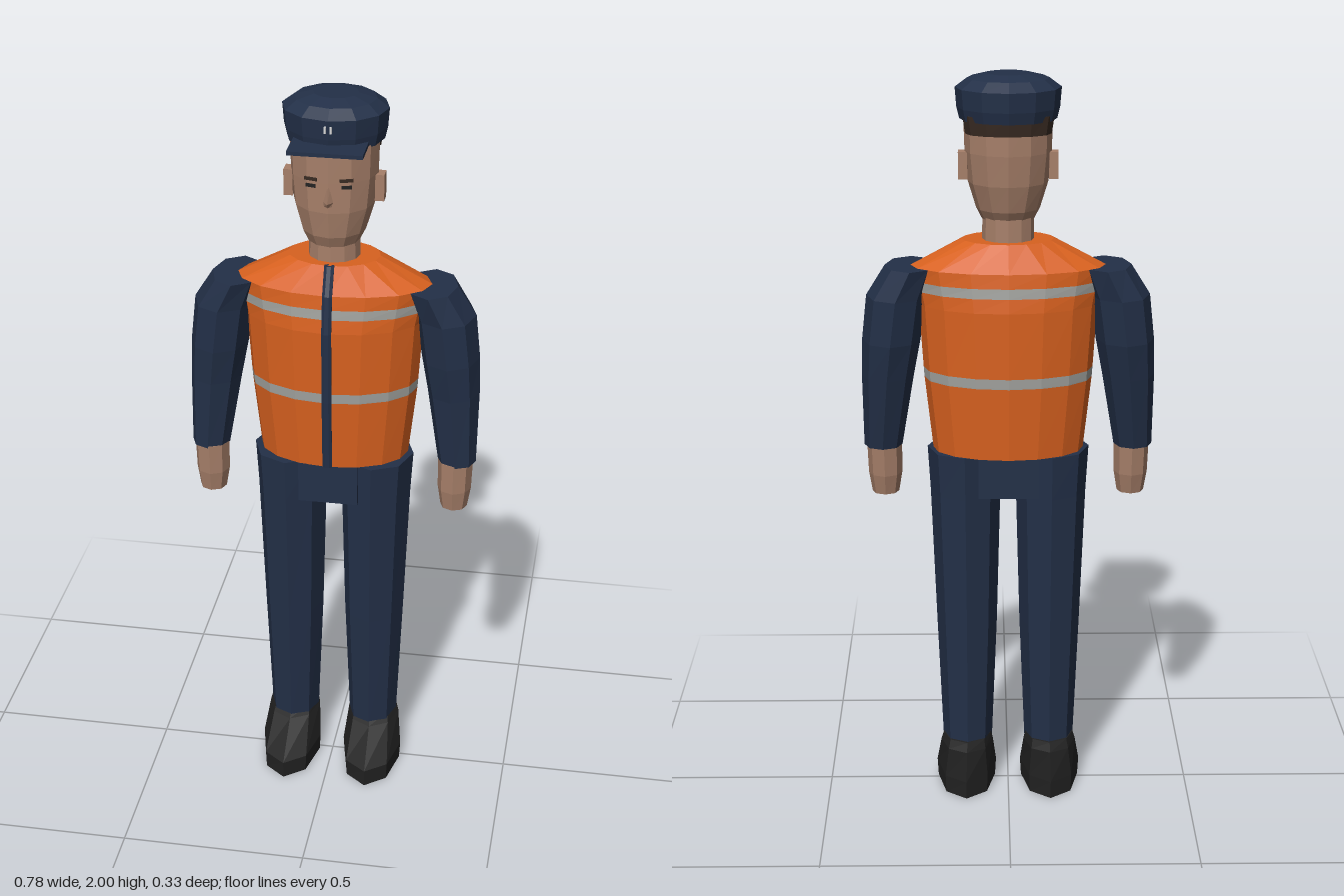
import * as THREE from 'three';

const mat = (name, color) => {
  const m = new THREE.MeshStandardMaterial({ color, flatShading: true });
  m.name = name;
  return m;
};

// Elliptical rings, bottom to top: [y, centreX, centreZ, halfX, halfZ]
function loft(rings, sides, spin = 0) {
  const pos = [];
  const point = ([y, cx, cz, hx, hz], i) => {
    const a = ((i % sides) / sides) * Math.PI * 2 + spin;
    return [cx + Math.sin(a) * hx, y, cz + Math.cos(a) * hz];
  };
  const tri = (...points) => points.forEach((p) => pos.push(...p));
  for (let r = 0; r < rings.length - 1; r++) {
    for (let i = 0; i < sides; i++) {
      const a = point(rings[r], i), b = point(rings[r], i + 1);
      const c = point(rings[r + 1], i + 1), d = point(rings[r + 1], i);
      tri(a, b, c);
      tri(a, c, d);
    }
  }
  const low = rings[0], high = rings[rings.length - 1];
  for (let i = 0; i < sides; i++) {
    tri([low[1], low[0], low[2]], point(low, i + 1), point(low, i));
    tri([high[1], high[0], high[2]], point(high, i), point(high, i + 1));
  }
  const g = new THREE.BufferGeometry();
  g.setAttribute('position', new THREE.Float32BufferAttribute(pos, 3));
  g.computeVertexNormals();
  return g;
}

// Vest rings, also sampled for stripes and front strip
const VEST = [
  [1.0, 0, -0.03, 0.2, 0.122],
  [1.2, 0, -0.029, 0.222, 0.132],
  [1.4, 0, -0.028, 0.235, 0.134],
  [1.5, 0, -0.028, 0.255, 0.12],
  [1.57, 0, -0.027, 0.12, 0.085],
];
function vestAt(y) {
  let k = 0;
  while (k < VEST.length - 2 && y > VEST[k + 1][0]) k++;
  const t = (y - VEST[k][0]) / (VEST[k + 1][0] - VEST[k][0]);
  return VEST[k].map((v, i) => v + (VEST[k + 1][i] - v) * t);
}
const vestBand = (y0, y1) => [vestAt(y0), ...VEST.filter((r) => r[0] > y0 + 1e-4 && r[0] < y1 - 1e-4), vestAt(y1)];

export function createModel() {
  const navy = mat('navy cloth', 0x233048);
  const orange = mat('orange vest', 0xd8611f);
  const silver = mat('reflective stripe', 0x9fa09c);
  const skin = mat('skin', 0xa67f69);
  const black = mat('black leather', 0x222222);
  const hairBrown = mat('dark hair', 0x382a22);
  const white = mat('badge white', 0xd8d8d8);

  const model = new THREE.Group();
  model.name = 'uniformedWorker';
  const add = (name, geometry, material, x = 0, y = 0, z = 0) => {
    const mesh = new THREE.Mesh(geometry, material);
    mesh.name = name;
    mesh.position.set(x, y, z);
    model.add(mesh);
    return mesh;
  };
  const box = (w, h, d) => new THREE.BoxGeometry(w, h, d);

  // Vest in coloured bands
  [[1.0, 1.197, orange], [1.197, 1.224, silver], [1.224, 1.437, orange], [1.437, 1.463, silver], [1.463, 1.57, orange]]
    .forEach(([a, b, m]) => add(m === silver ? 'vestStripe' : 'vestPanel', loft(vestBand(a, b), 16), m));
  add('vestFrontStrip', loft(VEST.map(([y, , cz, , hz]) => [y, 0, cz + hz - 0.003, 0.014, 0.009]), 8, Math.PI / 8), navy);

  // Hips
  add('hips', box(0.16, 0.115, 0.215), navy, 0, 0.943, -0.022);

  // Limbs
  for (const s of [1, -1]) {
    const side = s > 0 ? 'left' : 'right';
    const limb = (name, rings, m) => add(side + name, loft(rings.map(([y, x, ...r]) => [y, x * s, ...r]), 8), m);
    limb('Leg', [
      [0.13, 0.113, -0.025, 0.067, 0.08],
      [0.5, 0.113, -0.023, 0.082, 0.093],
      [0.88, 0.115, -0.022, 0.094, 0.108],
      [1.0, 0.116, -0.022, 0.1, 0.113],
    ], navy);
    limb('Shoe', [
      [0, 0.117, 0.014, 0.08, 0.149],
      [0.05, 0.117, 0.014, 0.083, 0.15],
      [0.135, 0.115, -0.03, 0.072, 0.095],
      [0.16, 0.114, -0.035, 0.066, 0.078],
    ], black);
    limb('Arm', [
      [1.0, 0.335, -0.005, 0.051, 0.052],
      [1.2, 0.319, -0.022, 0.069, 0.078],
      [1.3, 0.308, -0.027, 0.077, 0.094],
      [1.42, 0.293, -0.028, 0.079, 0.097],
      [1.5, 0.255, -0.026, 0.067, 0.095],
    ], navy);
    limb('Hand', [
      [0.865, 0.331, 0.002, 0.036, 0.036],
      [0.92, 0.331, 0, 0.045, 0.047],
      [1.005, 0.332, -0.002, 0.047, 0.05],
    ], skin);

    // Ear, eye and brow
    add(side + 'Ear', box(0.024, 0.07, 0.036), skin, s * 0.117, 1.763, -0.028);
    const eye = add(side + 'Eye', box(0.026, 0.009, 0.006), black, s * 0.045, 1.79, 0.063);
    const brow = add(side + 'Brow', box(0.034, 0.008, 0.006), hairBrown, s * 0.045, 1.808, 0.0645);
    eye.rotation.y = brow.rotation.y = s * 0.25;
    add('capBadgeMark', box(0.005, 0.018, 0.006), white, s * 0.007, 1.942, 0.077);
  }

  // Neck and head
  add('neck', loft([[1.55, 0, -0.027, 0.068, 0.063], [1.68, 0, -0.027, 0.066, 0.06]], 12), skin);
  add('head', loft([
    [1.62, 0, -0.015, 0.068, 0.068],
    [1.65, 0, -0.018, 0.083, 0.084],
    [1.72, 0, -0.023, 0.104, 0.098],
    [1.8, 0, -0.027, 0.112, 0.102],
    [1.9, 0, -0.028, 0.115, 0.102],
  ], 12), skin);
  add('nose', loft([
    [1.738, 0, 0.069, 0.013, 0.012],
    [1.75, 0, 0.07, 0.014, 0.019],
    [1.79, 0, 0.07, 0.006, 0.007],
  ], 4), skin);

  // Hair under the back of the cap
  add('hair', loft([[1.852, 0, -0.079, 0.11, 0.06], [1.9, 0, -0.079, 0.117, 0.066]], 12), hairBrown);

  // Cap
  add('cap', loft([
    [1.885, 0, -0.042, 0.125, 0.112],
    [1.915, 0, -0.043, 0.132, 0.118],
    [1.965, 0, -0.043, 0.136, 0.121],
    [1.988, 0, -0.043, 0.105, 0.094],
    [2.0, 0, -0.043, 0.058, 0.052],
  ], 12), navy);
  add('capVisor', box(0.19, 0.01, 0.1), navy, 0, 1.896, 0.078);

  return model;
}
